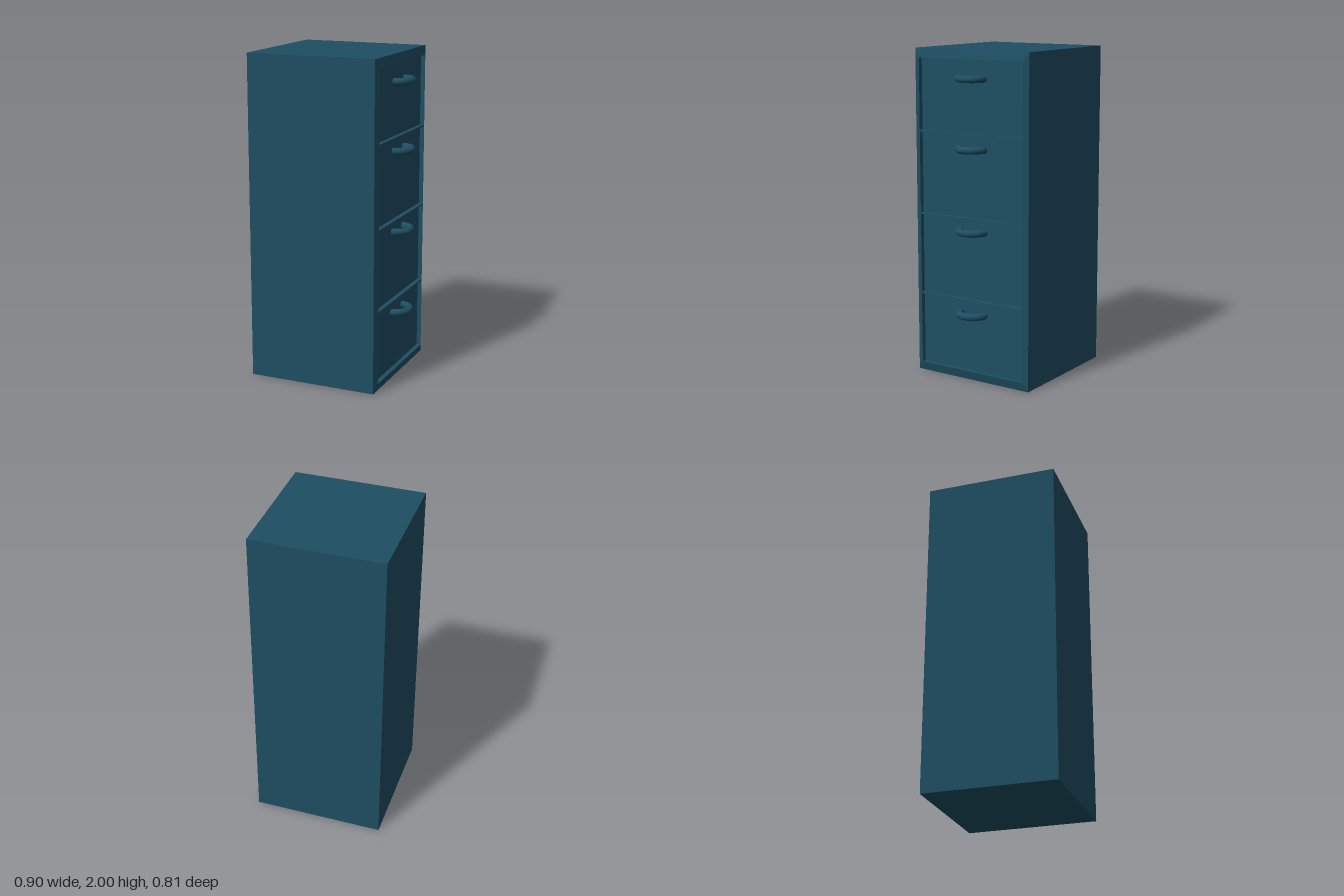
import * as THREE from 'three';

const material = new THREE.MeshStandardMaterial({ color: 0x1e4e62 });

// Cabinet shell: rectangular sections along x, given as [x, half depth, bottom, top]
function shellGeometry(sections) {
  const loops = sections.map(([x, w, y0, y1]) => [[x, y0, -w], [x, y1, -w], [x, y1, w], [x, y0, w]]);
  const points = [];
  const quad = (a, b, c, d) => points.push(...a, ...b, ...c, ...a, ...c, ...d);
  for (let i = 0; i + 1 < loops.length; i++) {
    for (let j = 0; j < 4; j++) {
      const k = (j + 1) % 4;
      quad(loops[i][j], loops[i][k], loops[i + 1][k], loops[i + 1][j]);
    }
  }
  quad(...[...loops[0]].reverse());
  quad(...loops[loops.length - 1]);
  const geometry = new THREE.BufferGeometry();
  geometry.setAttribute('position', new THREE.Float32BufferAttribute(points, 3));
  geometry.computeVertexNormals();
  return geometry;
}

export function createModel() {
  const model = new THREE.Group();
  model.name = 'filingCabinet';
  const add = (parent, name, geometry, x = 0, y = 0, z = 0) => {
    const mesh = new THREE.Mesh(geometry, material);
    mesh.name = name;
    mesh.position.set(x, y, z);
    parent.add(mesh);
    return mesh;
  };

  // Body with bevelled rim and a recess on the drawer side
  const bottom = 0.055, top = 1.945, half = 0.368, rim = 0.375, back = 0.33, face = 0.347;
  add(model, 'cabinetBody', shellGeometry([
    [-0.45, 0.405, 0, 2],
    [0.36, 0.405, 0, 2],
    [rim, half, bottom, top],
    [back, half, bottom, top],
  ]));

  // Thin rails between the drawers
  const rails = [0.5, 1.0, 1.505];
  const railHeight = 0.01;
  for (const y of rails) {
    add(model, 'drawerRail', new THREE.BoxGeometry(rim - back, railHeight, half * 2), (rim + back) / 2, y, 0);
  }

  // Drawers, each with a half-ring handle
  const levels = [bottom, ...rails, top];
  const handleHeights = [0.415, 0.925, 1.42, 1.835];
  const handleGeometry = new THREE.TorusGeometry(0.085, 0.022, 16, 32, Math.PI);
  handleGeometry.rotateZ(-Math.PI / 2).rotateX(Math.PI / 2);
  handleHeights.forEach((handleY, i) => {
    const drawer = new THREE.Group();
    drawer.name = 'drawer';
    model.add(drawer);
    add(drawer, 'drawerFront', new THREE.BoxGeometry(face - back, levels[i + 1] - levels[i], half * 2),
      (face + back) / 2, (levels[i] + levels[i + 1]) / 2, 0);
    add(drawer, 'drawerHandle', handleGeometry, 0.343, handleY, 0);
  });

  return model;
}
